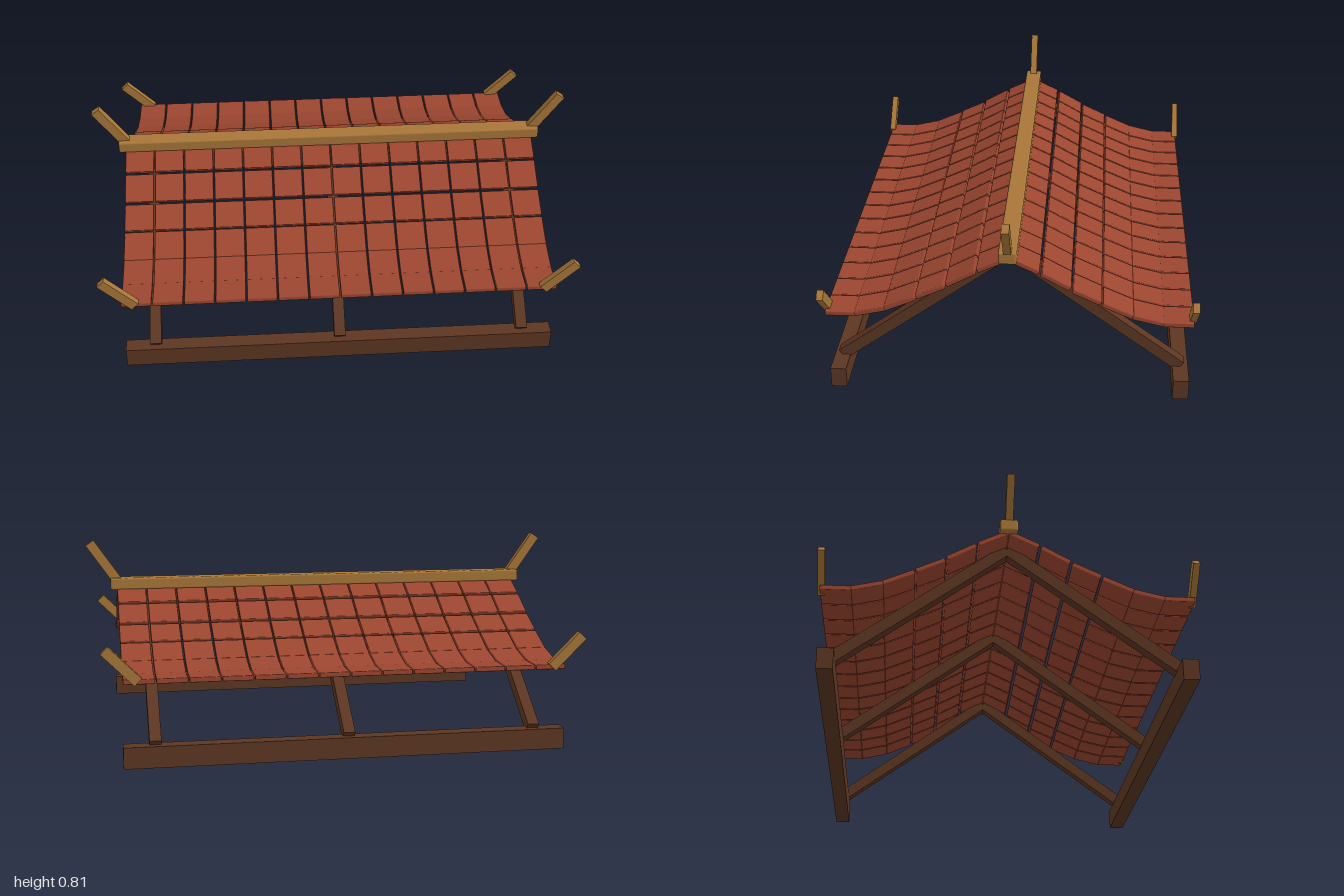
import * as THREE from 'three';
import { RoundedBoxGeometry } from 'three/addons/geometries/RoundedBoxGeometry.js';

export function createModel() {
  const root = new THREE.Group();
  root.name = 'tiledRoof';

  const mat = (name, color) => {
    const m = new THREE.MeshStandardMaterial({ color });
    m.name = name;
    return m;
  };
  const clay = mat('red clay', 0x9c4630);
  const wood = mat('dark wood', 0x5c3622);
  const gold = mat('golden wood', 0xa87638);

  const add = (name, geometry, material, x, y, z, parent = root) => {
    const mesh = new THREE.Mesh(geometry, material);
    mesh.name = name;
    mesh.position.set(x, y, z);
    parent.add(mesh);
    return mesh;
  };

  // Centre line of each tile row, ridge to eave: [z0, y0, z1, y1]
  const rows = [
    [0.004, 0.603, 0.116, 0.549],
    [0.125, 0.543, 0.235, 0.482],
    [0.243, 0.474, 0.352, 0.423],
    [0.357, 0.418, 0.475, 0.366],
    [0.473, 0.366, 0.593, 0.338],
    [0.590, 0.338, 0.708, 0.338],
  ];
  const columns = 14, pitch = 0.125;

  const beamGeo = new THREE.BoxGeometry(1.755, 0.084, 0.062);
  const hornGeo = new THREE.BoxGeometry(0.04, 0.176, 0.026);
  const finialGeo = new THREE.BoxGeometry(0.04, 0.216, 0.03);

  // Sloping rafter, from the eave beam up to the ridge
  const foot = { z: 0.673, y: 0.083 }, apex = { z: 0, y: 0.583 };
  const rise = apex.y - foot.y, run = foot.z;
  const rafterGeo = new THREE.BoxGeometry(0.046, 0.046, Math.hypot(rise, run));

  for (const side of [1, -1]) {
    const half = new THREE.Group();
    half.name = side > 0 ? 'frontSlope' : 'backSlope';
    root.add(half);

    add('eaveBeam', beamGeo, wood, 0, 0.042, side * 0.672, half);

    for (const x of [-0.755, 0, 0.755]) {
      const rafter = add('rafter', rafterGeo, wood, x, (foot.y + apex.y) / 2, side * run / 2, half);
      rafter.rotation.x = side * Math.atan2(rise, run);
    }

    // Curved roof surface made of separate tiles
    for (const [z0, y0, z1, y1] of rows) {
      const length = Math.hypot(z1 - z0, y1 - y0);
      const tileGeo = new RoundedBoxGeometry(pitch - 0.005, 0.02, length, 1, 0.004);
      for (let c = 0; c < columns; c++) {
        const x = (c - (columns - 1) / 2) * pitch;
        const tile = add('roofTile', tileGeo, clay, x, (y0 + y1) / 2, side * (z0 + z1) / 2, half);
        tile.rotation.x = side * Math.atan2(y0 - y1, z1 - z0);
      }
    }

    // Upturned horns on the eave corners
    for (const s of [1, -1]) {
      const horn = add('cornerHorn', hornGeo, gold, s * 0.878, 0.4, side * 0.704, half);
      horn.rotation.z = -s * Math.PI / 4;
    }
  }

  // Ridge beam with a slanted finial at each end
  add('ridgeBeam', new RoundedBoxGeometry(1.8, 0.05, 0.07, 2, 0.008), gold, 0, 0.622, 0);
  for (const s of [1, -1]) {
    const finial = add('ridgeFinial', finialGeo, gold, s * 0.921, 0.708, 0);
    finial.rotation.z = -s * 0.61;
  }

  return root;
}
